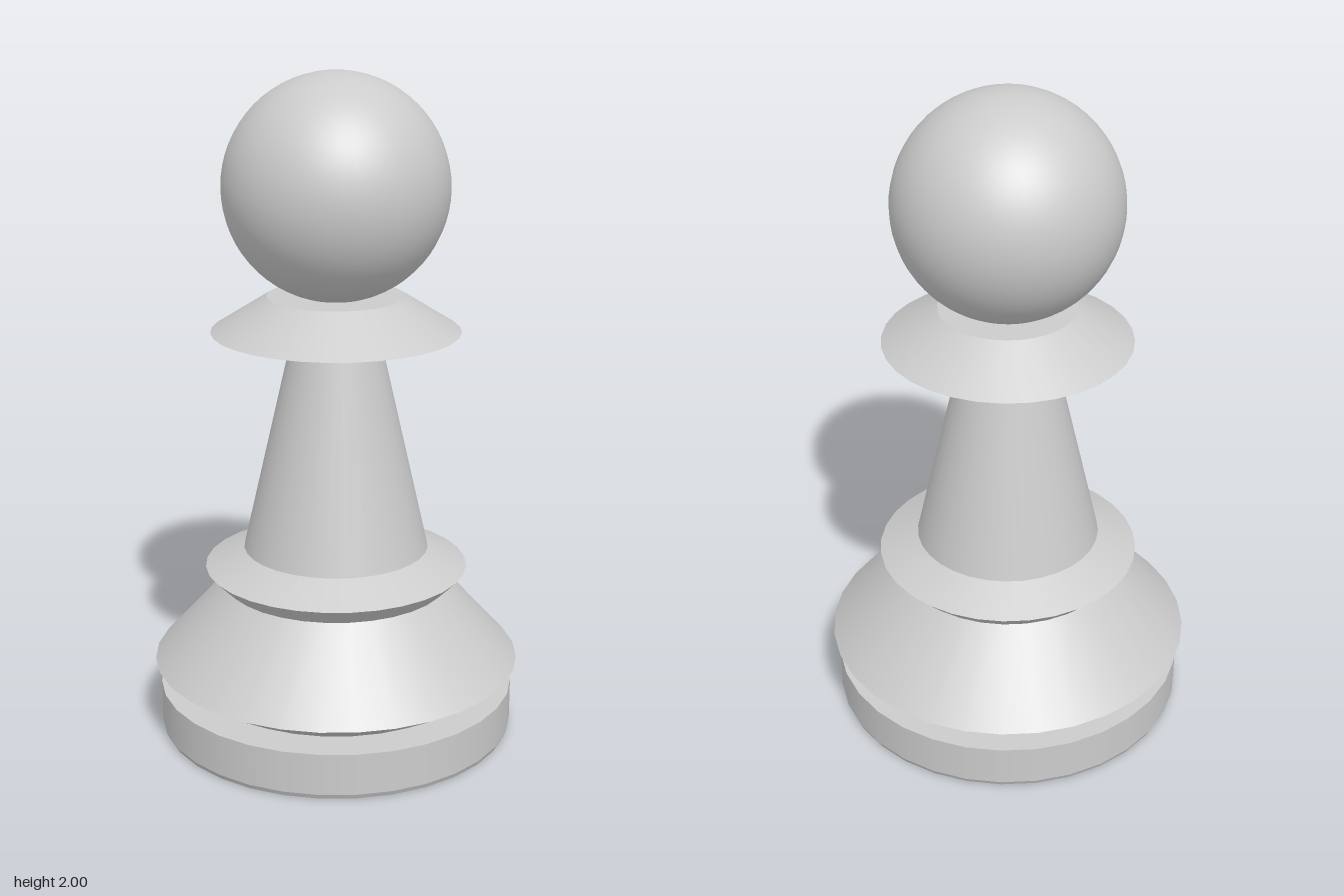
import * as THREE from 'three';

const SIDES = 32;

export function createModel() {
  const model = new THREE.Group();
  const material = new THREE.MeshStandardMaterial({ color: 0xcccccc });

  // A turned part: conical bands between [radius, y] rings, sharp at each ring, closed by end discs
  function turned(name, rings) {
    const part = new THREE.Group();
    part.name = name;
    const add = (geometry, label) => {
      const mesh = new THREE.Mesh(geometry, material);
      mesh.name = label;
      part.add(mesh);
    };
    for (let i = 0; i < rings.length - 1; i++) {
      const [r0, y0] = rings[i];
      const [r1, y1] = rings[i + 1];
      const band = new THREE.CylinderGeometry(r1, r0, y1 - y0, SIDES, 1, true);
      add(band.translate(0, (y0 + y1) / 2, 0), `${name}Band${i + 1}`);
    }
    const [rb, yb] = rings[0];
    const [rt, yt] = rings[rings.length - 1];
    add(new THREE.CircleGeometry(rb, SIDES).rotateX(Math.PI / 2).translate(0, yb, 0), `${name}Bottom`);
    add(new THREE.CircleGeometry(rt, SIDES).rotateX(-Math.PI / 2).translate(0, yt, 0), `${name}Top`);
    model.add(part);
  }

  // Base disc with a slightly eased lower edge
  turned('base', [[0.535, 0], [0.542, 0.015], [0.542, 0.142]]);
  // Flared skirt above the base
  turned('skirt', [[0.43, 0.142], [0.558, 0.22], [0.343, 0.46]]);
  // Lower collar
  turned('lowerCollar', [[0.343, 0.46], [0.398, 0.515], [0.28, 0.572]]);
  // Tapering stem
  turned('stem', [[0.28, 0.572], [0.14, 1.185]]);
  // Upper collar under the head
  turned('upperCollar', [[0.14, 1.185], [0.37, 1.245], [0.204, 1.35]]);

  // Round head
  const head = new THREE.Mesh(new THREE.SphereGeometry(0.332, 48, 32), material);
  head.name = 'head';
  head.position.y = 1.668;
  model.add(head);

  return model;
}
